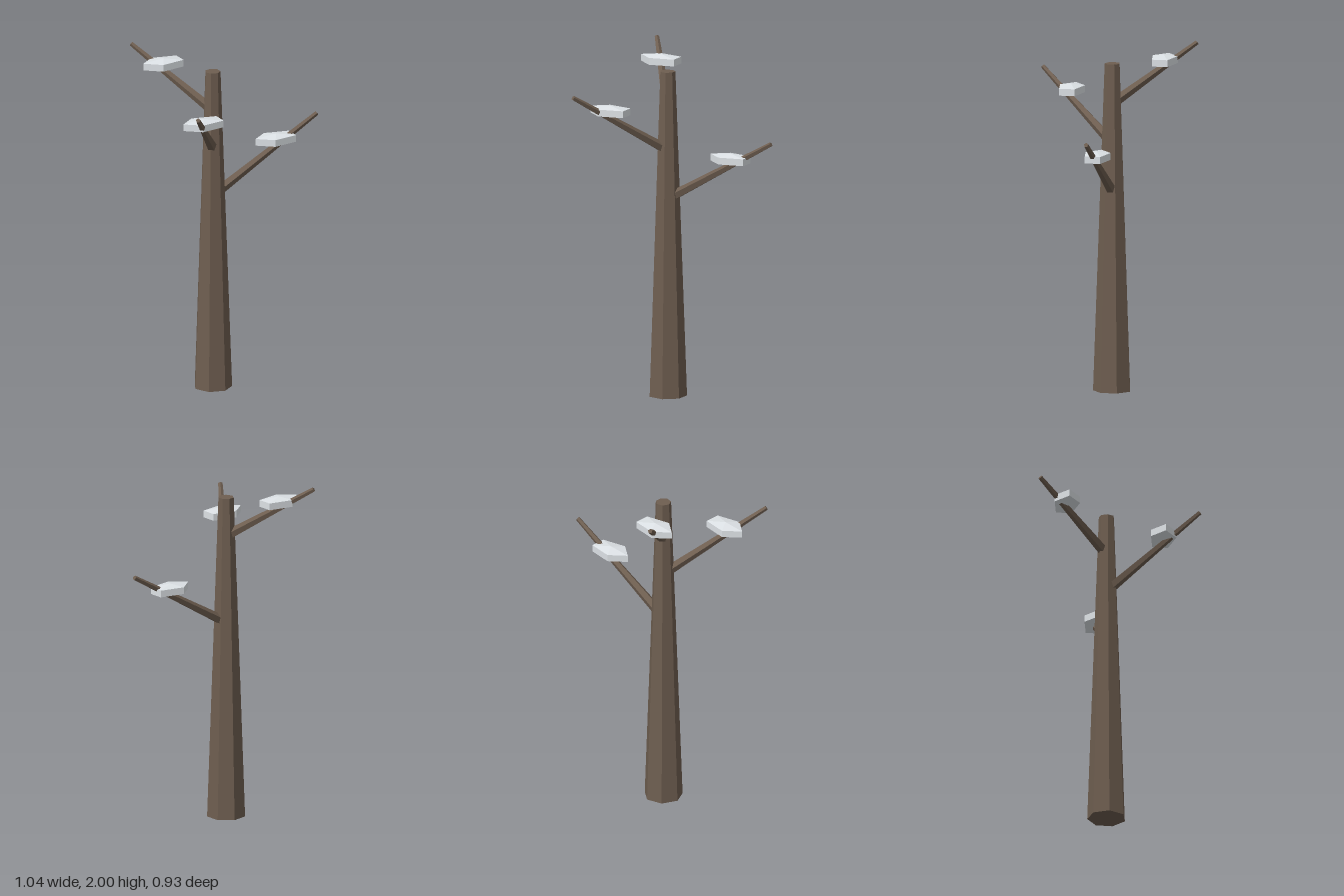
import * as THREE from 'three';

const AXIS_X = -0.163, AXIS_Z = -0.03;

export function createModel() {
  const model = new THREE.Group();
  model.name = 'snowyBareTree';

  const bark = new THREE.MeshStandardMaterial({ color: 0x6e5e50, flatShading: true });
  bark.name = 'brown bark';
  const snow = new THREE.MeshStandardMaterial({ color: 0xdde2e6, flatShading: true });
  snow.name = 'pale snow';

  const add = (name, geometry, material, x, y, z) => {
    const mesh = new THREE.Mesh(geometry, material);
    mesh.name = name;
    mesh.position.set(x, y, z);
    model.add(mesh);
  };

  // Tapered seven-sided trunk, one corner towards -x
  const trunk = new THREE.CylinderGeometry(0.045, 0.1115, 1.9, 7, 1, false, -Math.PI / 2);
  add('trunk', trunk, bark, AXIS_X, 0.95, AXIS_Z);

  // Five-sided branch growing from the trunk axis to its tip, ridge upwards
  const addBranch = (name, baseY, tip) => {
    const dx = tip[0] - AXIS_X, dy = tip[1] - baseY, dz = tip[2] - AXIS_Z;
    const run = Math.hypot(dx, dz), length = Math.hypot(run, dy);
    const branch = new THREE.CylinderGeometry(0.0135, 0.031, length, 5, 1, false, -Math.PI / 2);
    branch.translate(0, length / 2, 0);
    branch.rotateZ(-Math.atan2(run, dy));
    branch.rotateY(Math.atan2(-dz, dx));
    add(name, branch, bark, AXIS_X, baseY, AXIS_Z);
  };

  // Flattened five-sided snow clump with shallow peaks above and below
  const profile = [[0, -0.033], [1, -0.02], [1, 0.02], [0, 0.033]]
    .map(([r, y]) => new THREE.Vector2(r, y));
  const clump = new THREE.LatheGeometry(profile, 5, -Math.PI / 2);
  clump.scale(0.131, 1, 0.077);

  const limbs = [
    { side: 'left', baseY: 1.152, tip: [0.51, 1.543, -0.03], pad: [0.247, 1.427, -0.031] },
    { side: 'front', baseY: 1.436, tip: [-0.514, 1.802, 0.458], pad: [-0.376, 1.7, 0.263] },
    { side: 'back', baseY: 1.667, tip: [-0.464, 1.987, -0.457], pad: [-0.344, 1.897, -0.289] },
  ];
  for (const { side, baseY, tip, pad } of limbs) {
    addBranch(side + 'Branch', baseY, tip);
    add(side + 'SnowClump', clump, snow, ...pad);
  }
  return model;
}
